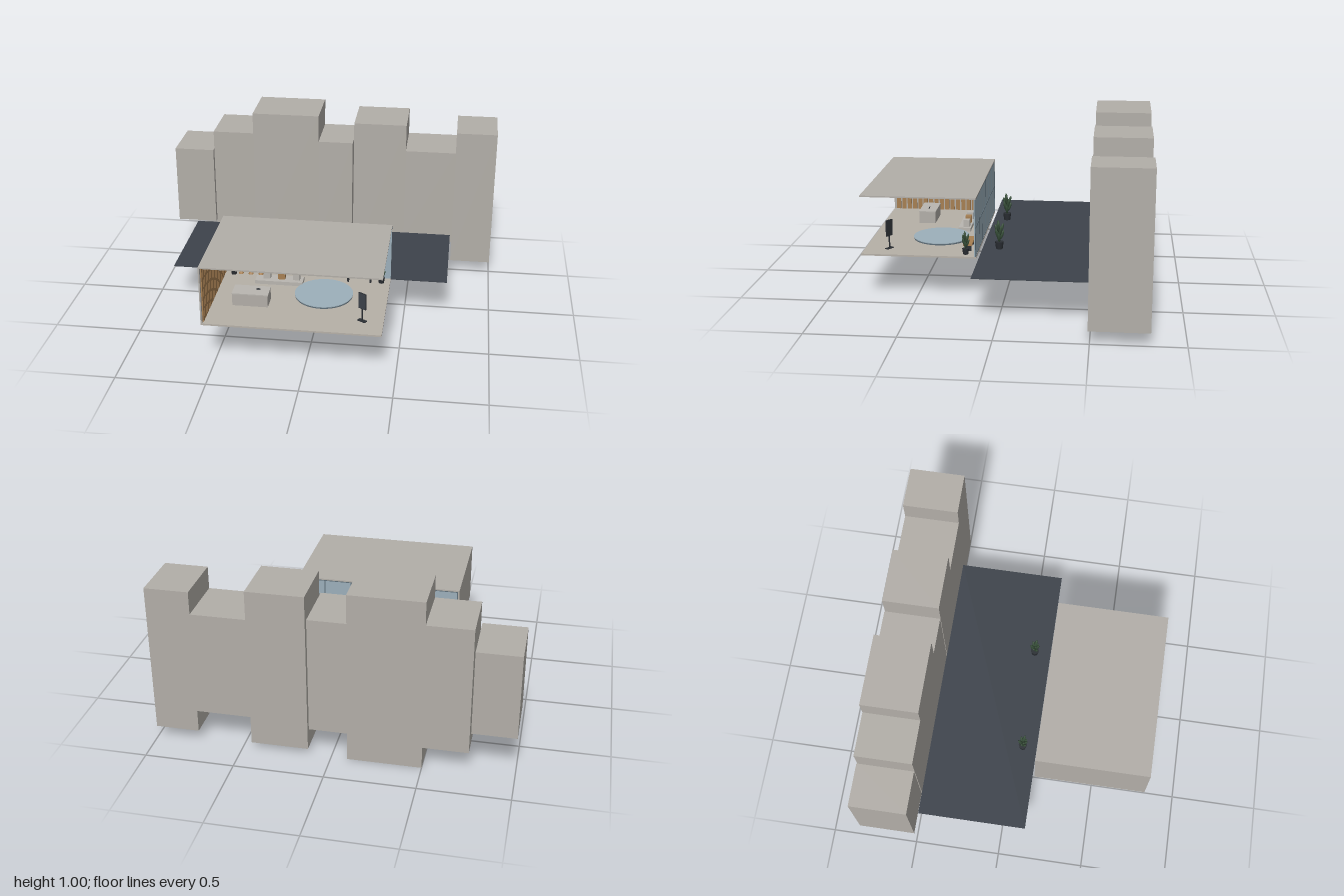
import * as THREE from 'three';

const mat = (name, color, side = THREE.FrontSide) => {
  const m = new THREE.MeshStandardMaterial({ color, side });
  m.name = name;
  return m;
};

export function createModel() {
  const root = new THREE.Group();
  root.name = 'showroom';
  const concrete = mat('concrete', 0xb2aea8);
  const floorStone = mat('floor stone', 0xb6b0a7);
  const asphalt = mat('asphalt', 0x3d434b);
  const glass = mat('glass', 0x9cafba);
  const steel = mat('steel', 0x5f6f79);
  const wood = mat('wood', 0xa67f52);
  const dark = mat('dark metal', 0x2b2f34);
  const leaf = mat('leaf', 0x38503a);
  const fabric = mat('fabric', 0xb9b6b0);

  const add = (name, geo, material, x = 0, y = 0, z = 0, parent = root) => {
    const m = new THREE.Mesh(geo, material);
    m.name = name;
    m.position.set(x, y, z);
    parent.add(m);
    return m;
  };
  // box given by its limits on each axis
  const box = (name, material, x0, x1, y0, y1, z0, z1, parent = root) =>
    add(name, new THREE.BoxGeometry(x1 - x0, y1 - y0, z1 - z0), material,
      (x0 + x1) / 2, (y0 + y1) / 2, (z0 + z1) / 2, parent);

  // row of tower blocks behind
  [
    [-1, -0.757, 0.255, 0.745],
    [-0.75, -0.5, 0.13, 0.87],
    [-0.5, -0.09, 0, 1],
    [-0.09, 0.122, 0.165, 0.835],
    [0.13, 0.45, 0.035, 0.965],
    [0.45, 0.755, 0.2, 0.8],
    [0.755, 1, 0.07, 0.93],
  ].forEach(([x0, x1, y0, y1]) => box('towerBlock', concrete, x0, x1, y0, y1, -0.812, -0.49));

  // street slab
  box('street', asphalt, -0.877, 0.745, 0.243, 0.247, -0.49, 0.143);

  // room shell, open at the front and on its left
  box('floor', floorStone, -0.56, 0.42, 0.25, 0.26, 0.155, 0.81);
  box('roof', concrete, -0.56, 0.42, 0.592, 0.6, 0.155, 0.81);
  box('sideWall', concrete, -0.56, -0.552, 0.26, 0.592, 0.155, 0.81);

  // wooden slats on the side wall
  const slats = 18, pitch = 0.63 / slats;
  for (let i = 0; i < slats; i++) {
    const z = 0.172 + i * pitch;
    box('wallSlat', wood, -0.552, -0.545, 0.262, 0.59, z, z + pitch * 0.75);
  }

  // glazed back wall with a grid of bars on the street side
  box('backGlass', glass, -0.552, 0.42, 0.26, 0.592, 0.16, 0.166);
  for (let i = 0; i <= 6; i++) {
    const x = -0.549 + i * 0.161;
    box('windowBar', steel, x - 0.003, x + 0.003, 0.26, 0.592, 0.156, 0.16);
  }
  [0.263, 0.426, 0.589].forEach((y) =>
    box('windowRail', steel, -0.552, 0.42, y - 0.003, y + 0.003, 0.1565, 0.16));

  // ceiling light tracks
  [-0.31, -0.07, 0.17].forEach((x) =>
    box('ceilingTrack', dark, x - 0.006, x + 0.006, 0.588, 0.592, 0.23, 0.74));

  // reception counter with a small screen on it
  box('counter', concrete, -0.43, -0.23, 0.26, 0.33, 0.49, 0.59);
  box('counterTop', fabric, -0.432, -0.228, 0.33, 0.336, 0.488, 0.592);
  const tablet = box('counterScreen', dark, -0.302, -0.278, 0.337, 0.347, 0.535, 0.539);
  tablet.rotation.x = -0.4;

  // pendant lamps over the counter
  const shade = new THREE.LatheGeometry(
    [[0.014, 0], [0.012, 0.006], [0.007, 0.011], [0.002, 0.013], [0.002, 0.018], [0, 0.018]]
      .map(([r, y]) => new THREE.Vector2(r, y)), 16);
  const woodShade = mat('wood', 0xa67f52, THREE.DoubleSide);
  [-0.385, -0.33, -0.275].forEach((x) => add('pendantLamp', shade, woodShade, x, 0.434, 0.53));

  // low bench with three cushions
  box('loungeBase', fabric, -0.35, -0.075, 0.26, 0.282, 0.25, 0.325);
  [[-0.285, fabric], [-0.2, wood], [-0.115, fabric]].forEach(([x, m]) =>
    box('loungeCushion', m, x - 0.02, x + 0.02, 0.282, 0.324, 0.26, 0.297));

  // round display platform
  add('platformEdge', new THREE.CylinderGeometry(0.163, 0.163, 0.008, 48), steel, 0.06, 0.264, 0.405);
  add('platformTop', new THREE.CylinderGeometry(0.165, 0.165, 0.004, 48), glass, 0.06, 0.27, 0.405);

  // wooden bench by the window
  box('benchSeat', wood, 0.16, 0.325, 0.294, 0.304, 0.19, 0.24);
  [0.178, 0.307].forEach((x) => box('benchLeg', dark, x - 0.005, x + 0.005, 0.26, 0.294, 0.195, 0.235));

  // display screen on a stand, turned toward the room
  const stand = new THREE.Group();
  stand.name = 'displayStand';
  stand.position.set(0.303, 0.26, 0.67);
  stand.rotation.y = -0.56;
  root.add(stand);
  box('standFoot', dark, -0.025, 0.025, 0, 0.004, -0.012, 0.012, stand);
  box('standPost', dark, -0.003, 0.003, 0.004, 0.08, -0.003, 0.003, stand);
  box('standCase', dark, -0.025, 0.025, 0.075, 0.17, -0.003, 0.003, stand);
  box('standScreen', asphalt, -0.023, 0.023, 0.078, 0.167, 0.003, 0.005, stand);

  // potted plants: two in the room, two on the street
  const potGeo = new THREE.CylinderGeometry(0.02, 0.015, 0.034, 8);
  const leafGeo = new THREE.SphereGeometry(1, 7, 6);
  const plant = (x, y, z, s) => {
    const g = new THREE.Group();
    g.name = 'pottedPlant';
    g.position.set(x, y, z);
    g.scale.setScalar(s);
    root.add(g);
    add('pot', potGeo, dark, 0, 0.017, 0, g);
    add('stem', new THREE.CylinderGeometry(0.003, 0.003, 0.06, 6), leaf, 0, 0.06, 0, g);
    for (let i = 0; i < 10; i++) {
      const a = i * 2.4, tier = i / 9;
      const l = add('leaf', leafGeo, leaf,
        Math.cos(a) * 0.012, 0.055 + tier * 0.052, Math.sin(a) * 0.012, g);
      l.scale.set(0.007, 0.024, 0.007);
      l.rotation.set(Math.sin(a) * 0.35, 0, -Math.cos(a) * 0.35);
    }
  };
  plant(-0.495, 0.26, 0.22, 1);
  plant(0.37, 0.26, 0.22, 1);
  plant(-0.39, 0.25, 0.06, 1.27);
  plant(0.217, 0.25, 0.045, 1.27);

  return root;
}
